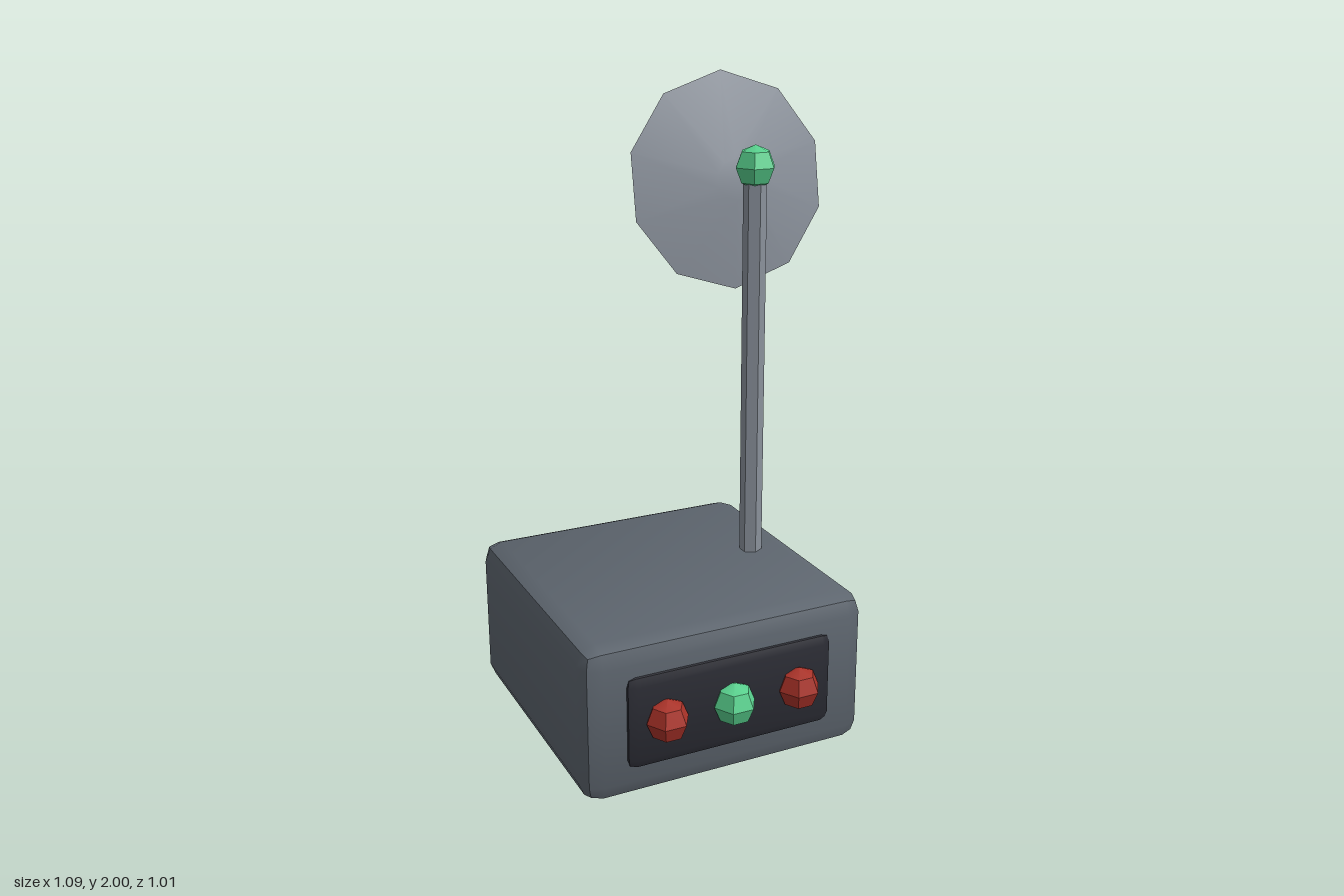
import * as THREE from 'three';
import { toCreasedNormals } from 'three/addons/utils/BufferGeometryUtils.js';
import { RoundedBoxGeometry } from 'three/addons/geometries/RoundedBoxGeometry.js';

const CREASE = 0.55;

function material(name, color) {
  const m = new THREE.MeshStandardMaterial({ color });
  m.name = name;
  return m;
}

export function createModel() {
  const model = new THREE.Group();
  model.name = 'relayBox';

  const bodyGrey = material('bodyGrey', 0x5d656e);
  const panelBlack = material('panelBlack', 0x2a2b33);
  const metalGrey = material('metalGrey', 0x8a919b);
  const red = material('lampRed', 0xa93228);
  const green = material('lampGreen', 0x58d08d);

  function add(name, geometry, mat, x, y, z) {
    const mesh = new THREE.Mesh(toCreasedNormals(geometry, CREASE), mat);
    mesh.name = name;
    mesh.position.set(x, y, z);
    model.add(mesh);
    return mesh;
  }

  // Housing and front panel with bevelled edges
  add('housing', new RoundedBoxGeometry(0.926, 0.495, 0.928, 1, 0.06), bodyGrey, -0.086, 0.2475, -0.047);
  add('frontPanel', new RoundedBoxGeometry(0.68, 0.305, 0.1, 1, 0.035), panelBlack, -0.086, 0.25, 0.383);

  // Faceted lamps: three on the panel, one on the mast
  const lamp = (name, mat, x, y, z) => add(name, new THREE.SphereGeometry(0.066, 6, 4), mat, x, y, z);
  lamp('rightLamp', red, -0.303, 0.252, 0.444);
  lamp('middleLamp', green, -0.087, 0.252, 0.444);
  lamp('leftLamp', red, 0.13, 0.252, 0.444);
  lamp('mastLamp', green, 0.223, 1.735, -0.047);

  // Hexagonal mast
  add('mast', new THREE.CylinderGeometry(0.036, 0.036, 1.28, 6), metalGrey, 0.223, 1.08, -0.047);

  // Shallow ten-sided dish, tilted upwards behind the lamp
  const dish = new THREE.CylinderGeometry(0.063, 0.338, 0.058, 10);
  dish.translate(0, 0.029, 0);
  dish.rotateX(Math.PI / 2 - 0.169);
  add('dish', dish, metalGrey, 0.224, 1.669, -0.228);

  return model;
}
